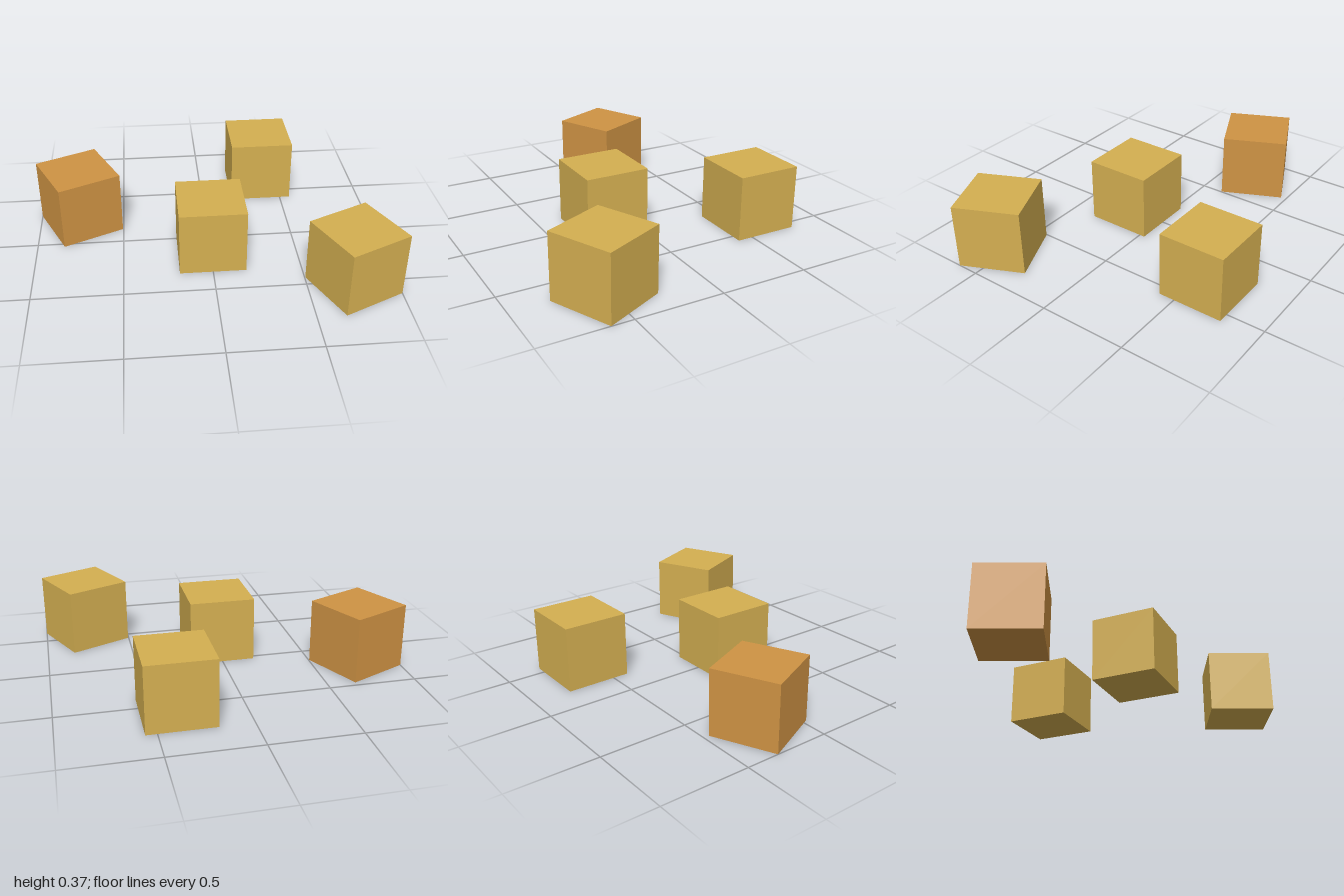
import * as THREE from 'three';

export function createModel() {
  const group = new THREE.Group();
  const yellow = new THREE.MeshStandardMaterial({ color: 0xd4af51 });
  yellow.name = 'golden yellow';
  const orange = new THREE.MeshStandardMaterial({ color: 0xcf9344 });
  orange.name = 'warm orange';

  const size = 0.374;
  const turn = 0.43;
  const cube = new THREE.BoxGeometry(size, size, size);

  // Four equal cubes on the ground, two of them turned: name, x, z, turn, colour
  const cubes = [
    ['centreCube', 0, 0.156, 0, yellow],
    ['backCube', 0.374, -0.595, 0, yellow],
    ['frontLeftCube', 0.752, 0.531, turn, yellow],
    ['rightCube', -0.752, -0.22, turn, orange],
  ];
  for (const [name, x, z, angle, material] of cubes) {
    const mesh = new THREE.Mesh(cube, material);
    mesh.name = name;
    mesh.position.set(x, size / 2, z);
    mesh.rotation.y = angle;
    group.add(mesh);
  }
  return group;
}
